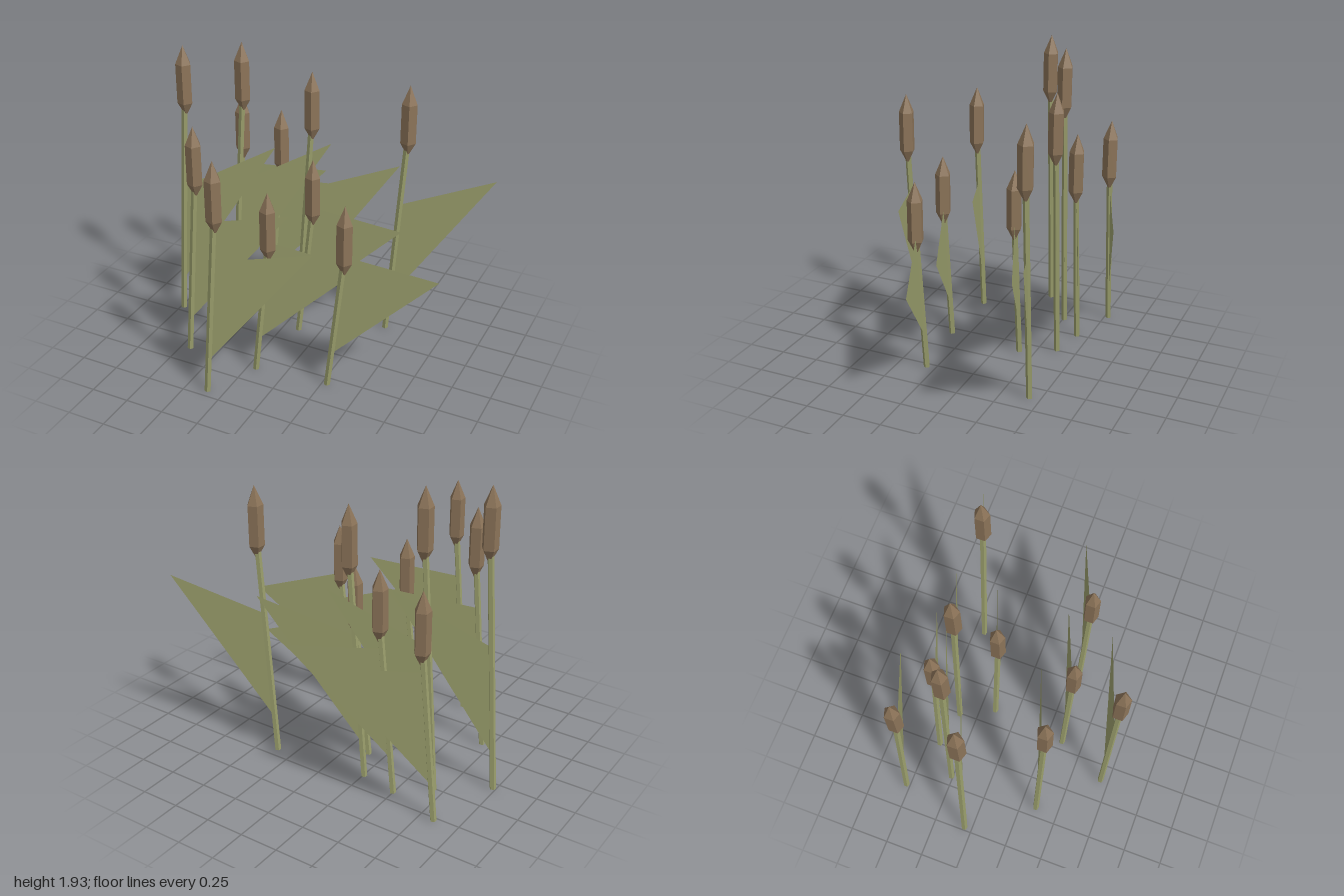
import * as THREE from 'three';

// [base x, z, total height] of each cattail
const PLANTS = [
  [-0.98, -0.05, 1.93], [-0.685, -0.26, 1.93],
  [-0.255, -0.37, 1.77], [0.368, -0.43, 1.77],
  [-0.687, 0.35, 1.61], [-0.355, 0.695, 1.61],
  [-0.842, -0.525, 1.45], [-0.497, -0.42, 1.45],
  [-0.193, 0.36, 1.29], [-0.143, -0.15, 1.29], [0.283, 0.31, 1.29],
];
const SIDES = 5;
const LEAN = 0.098; // sideways shift of every stem from foot to head

const green = new THREE.MeshStandardMaterial({ color: 0x9a9e6c, flatShading: true, side: THREE.DoubleSide });
const brown = new THREE.MeshStandardMaterial({ color: 0x8c7459, flatShading: true });

// five-sided spike with a pointed top and bottom, hanging down from its tip at y = 0
const headGeometry = new THREE.LatheGeometry(
  [[0, -0.47], [0.05, -0.375], [0.05, -0.12], [0, 0]].map(([r, y]) => new THREE.Vector2(r, y)),
  SIDES, Math.PI / 2
);

// straight rod, sheared so that it leans toward +x
function stemGeometry(length) {
  const geometry = new THREE.CylinderGeometry(0.02, 0.02, length, SIDES, 1, false, Math.PI / 2);
  geometry.translate(0, length / 2, 0);
  const p = geometry.attributes.position;
  for (let i = 0; i < p.count; i++) p.setX(i, p.getX(i) + LEAN * p.getY(i) / length);
  geometry.computeVertexNormals();
  return geometry;
}

// thin triangular blade between two points on the stem and a tip behind it
function leafGeometry(height, length) {
  const low = 0.245, high = 0.955;
  const geometry = new THREE.BufferGeometry();
  geometry.setAttribute('position', new THREE.Float32BufferAttribute([
    LEAN * low / length + 0.005, low, -0.003,
    0.623, 0.72 * height - 0.13, -0.205,
    Math.min(LEAN * high / length, LEAN) + 0.005, high, -0.003,
  ], 3));
  geometry.computeVertexNormals();
  return geometry;
}

export function createModel() {
  const model = new THREE.Group();
  model.name = 'cattails';
  for (const [x, z, height] of PLANTS) {
    const plant = new THREE.Group();
    plant.name = 'cattail';
    plant.position.set(x, 0, z);
    const length = height - 0.38;

    const stem = new THREE.Mesh(stemGeometry(length), green);
    stem.name = 'stem';
    const leaf = new THREE.Mesh(leafGeometry(height, length), green);
    leaf.name = 'leaf';
    const head = new THREE.Mesh(headGeometry, brown);
    head.name = 'seedHead';
    head.position.set(0.103, height, 0);

    plant.add(stem, leaf, head);
    model.add(plant);
  }
  return model;
}
